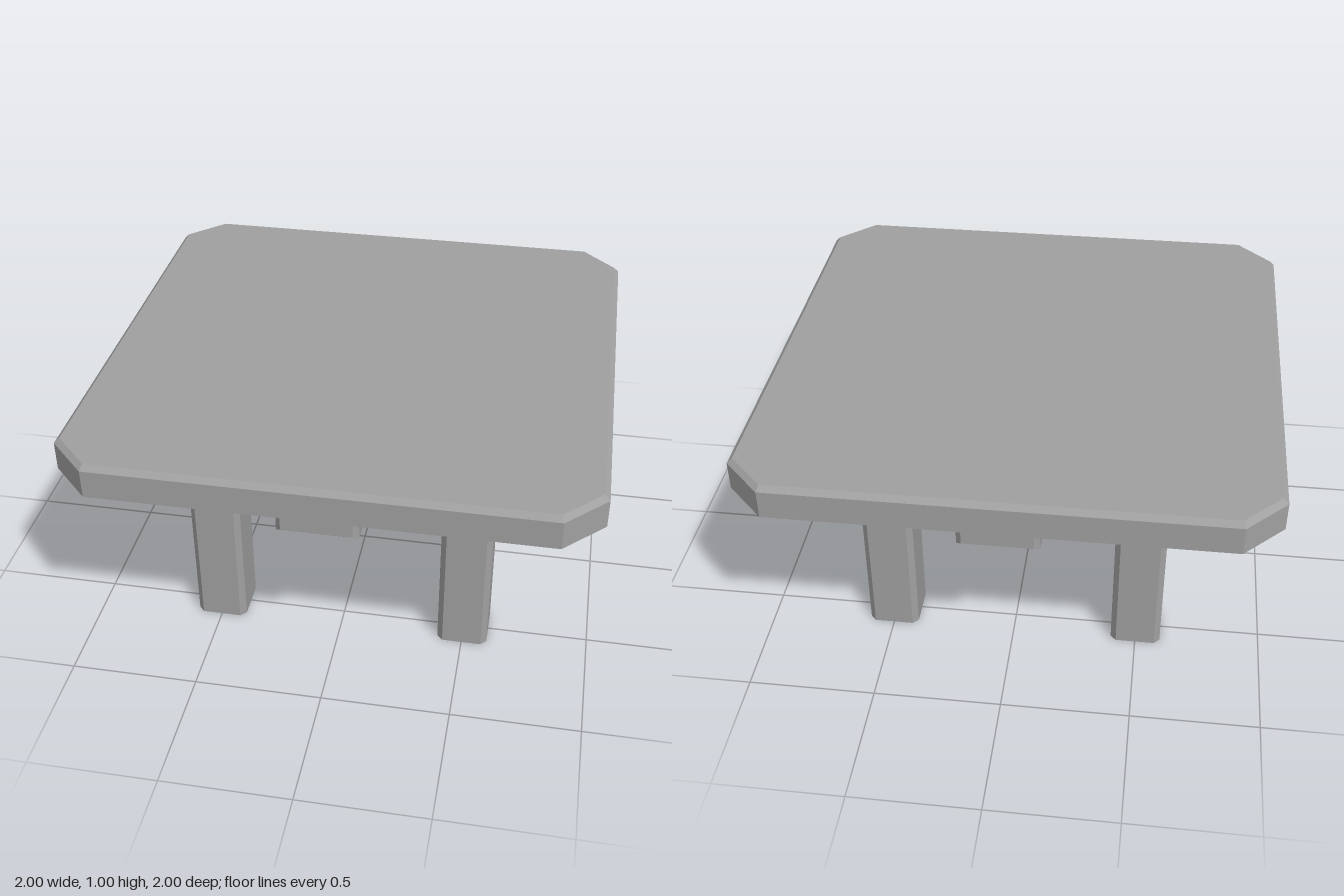
import * as THREE from 'three';
import { ConvexGeometry } from 'three/addons/geometries/ConvexGeometry.js';

const material = new THREE.MeshStandardMaterial({ color: 0xa0a0a0, flatShading: true });

// Square ring with cut corners, counter-clockwise from above: half is the half width, cut the half length of a straight edge
function octagon(half, cut, y) {
  return [[half, cut], [half, -cut], [cut, -half], [-cut, -half], [-half, -cut], [-half, cut], [-cut, half], [cut, half]]
    .map(([x, z]) => new THREE.Vector3(x, y, z));
}

// Solid through a list of rings, from the underside outwards and up to the top, closed by a fan at both ends
function loft(rings) {
  const count = rings[0].length;
  const index = [];
  for (let r = 0; r < rings.length - 1; r++) {
    for (let i = 0; i < count; i++) {
      const j = (i + 1) % count;
      const a = r * count + i, b = r * count + j;
      index.push(a, b, b + count, a, b + count, a + count);
    }
  }
  const last = (rings.length - 1) * count;
  for (let i = 1; i < count - 1; i++) {
    index.push(0, i + 1, i, last, last + i, last + i + 1);
  }
  const geometry = new THREE.BufferGeometry().setFromPoints(rings.flat());
  geometry.setIndex(index);
  const faceted = geometry.toNonIndexed();
  faceted.computeVertexNormals();
  return faceted;
}

// Rectangular beam section at both ends of the z axis
function beamSection(z, halfWidth, bottom, top) {
  const points = [];
  for (const sz of [-1, 1]) {
    for (const sx of [-1, 1]) {
      for (const y of [bottom, top]) points.push(new THREE.Vector3(sx * halfWidth, y, sz * z));
    }
  }
  return points;
}

function part(name, geometry) {
  const mesh = new THREE.Mesh(geometry, material);
  mesh.name = name;
  return mesh;
}

export function createModel() {
  const table = new THREE.Group();
  table.name = 'table';

  // Slab with clipped corners, bevelled rims and a shallow hollow underneath
  table.add(part('tableTop', loft([
    octagon(0.86, 0.792, 0.897),
    octagon(0.98, 0.842, 0.86),
    octagon(1, 0.85, 0.868),
    octagon(1, 0.85, 0.98),
    octagon(0.98, 0.842, 1),
  ])));

  // Two crossing beams with bevelled ends, flush with the slab edge
  for (const [name, turn] of [['lengthBeam', 0], ['crossBeam', Math.PI / 2]]) {
    const beam = part(name, new ConvexGeometry([
      ...beamSection(0.98, 0.15, 0.8, 0.9),
      ...beamSection(1, 0.13, 0.817, 0.87),
    ]));
    beam.rotation.y = turn;
    table.add(beam);
  }

  // Four square legs with bevelled upright edges
  for (const [side, x] of [['Left', 0.5], ['Right', -0.5]]) {
    for (const [end, z] of [['front', 0.5], ['back', -0.5]]) {
      const leg = part(end + side + 'Leg', loft([octagon(0.1, 0.078, 0), octagon(0.1, 0.078, 0.9)]));
      leg.position.set(x, 0, z);
      table.add(leg);
    }
  }
  return table;
}
